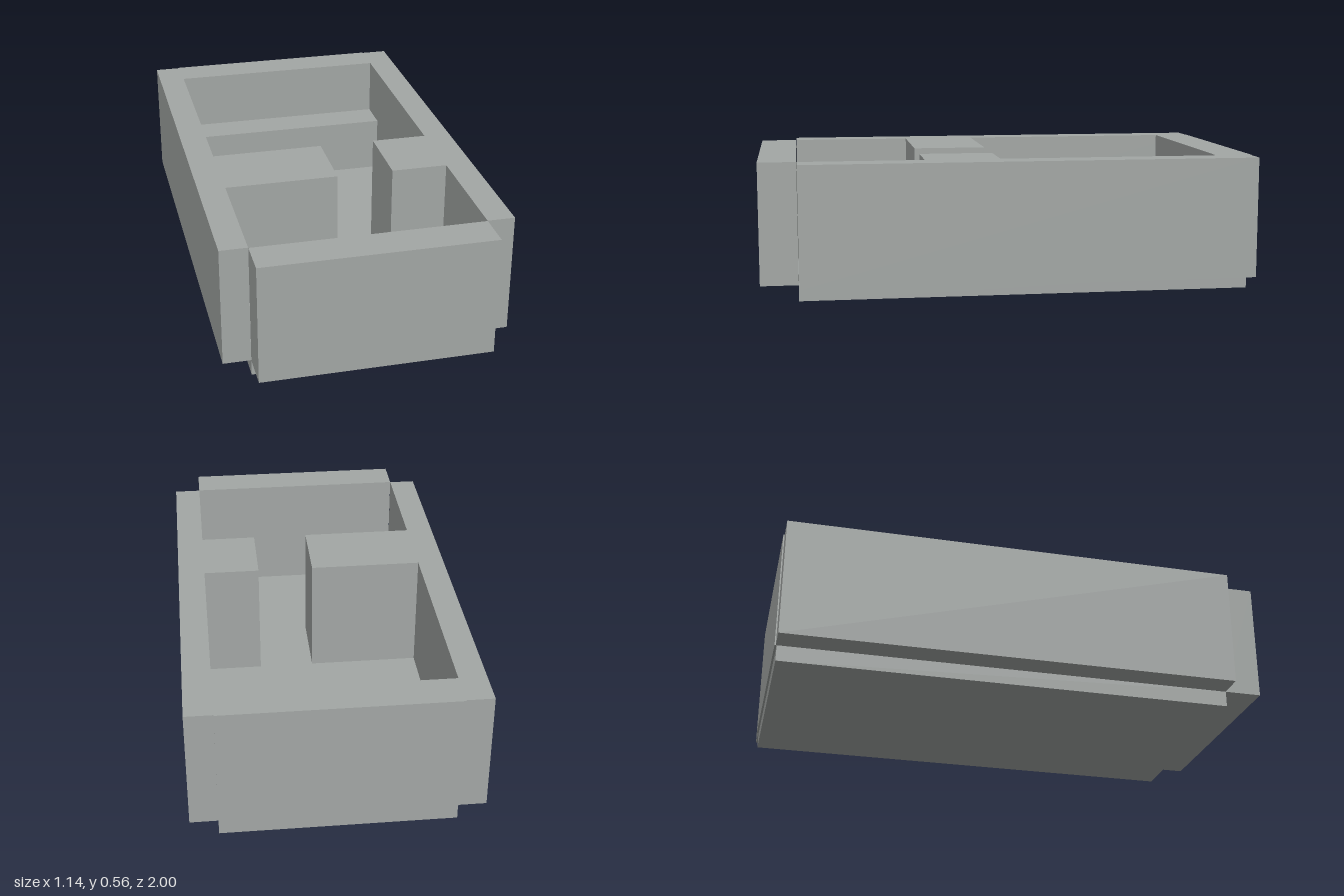
import * as THREE from 'three';

export function createModel() {
  const group = new THREE.Group();
  const grey = new THREE.MeshStandardMaterial({ color: 0xa3a7a5 });
  grey.name = 'plain grey';

  // Box given by its extents along each axis
  const block = (name, [x0, x1], [y0, y1], [z0, z1]) => {
    const mesh = new THREE.Mesh(new THREE.BoxGeometry(x1 - x0, y1 - y0, z1 - z0), grey);
    mesh.position.set((x0 + x1) / 2, (y0 + y1) / 2, (z0 + z1) / 2);
    mesh.name = name;
    group.add(mesh);
  };

  const floorTop = 0.065, wallTop = 0.555, ledgeTop = 0.31;
  const inner = 0.46, outer = 0.57;
  const wallY = [floorTop, wallTop];

  // Floor slab
  block('floor', [-inner, inner], [0, floorTop], [-0.992, 0.848]);

  // Outer walls; the front wall stands ahead of the side walls
  block('rightWall', [-outer, -inner], wallY, [-0.995, 0.846]);
  block('leftWall', [inner, outer], wallY, [-0.995, 0.846]);
  block('frontWall', [-inner, inner], wallY, [0.848, 1]);
  block('backWall', [-inner, inner], wallY, [-1, -0.85]);

  // Partition with a doorway between the two rooms
  block('widePartition', [-inner, 0], wallY, [0.042, 0.345]);
  block('narrowPartition', [0.23, inner], wallY, [0.042, 0.345]);

  // Low ledge along the back wall
  block('ledge', [-inner, inner], [floorTop, ledgeTop], [-0.85, -0.7]);

  return group;
}
